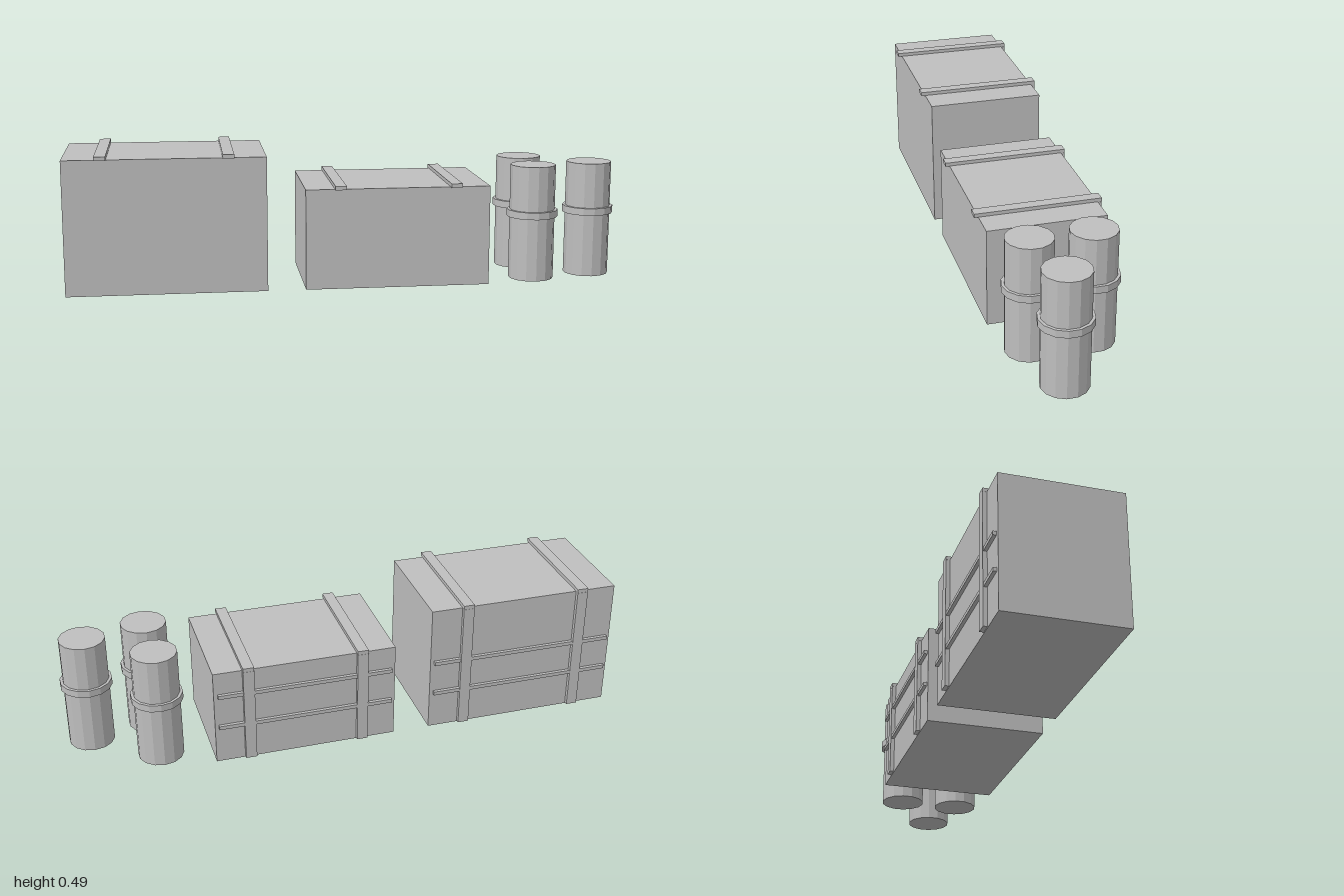
import * as THREE from 'three';

const grey = new THREE.MeshStandardMaterial({ color: 0xbfbfbf, flatShading: true });
grey.name = 'plain grey';

function add(parent, name, geometry, x, y, z) {
  const mesh = new THREE.Mesh(geometry, grey);
  mesh.name = name;
  mesh.position.set(x, y, z);
  parent.add(mesh);
}

const box = (w, h, d) => new THREE.BoxGeometry(w, h, d);

// Crate with two straps over the lid and down the back, crossed by two battens
function makeCrate(name, x, width, height, strapOffset) {
  const crate = new THREE.Group();
  crate.name = name;
  crate.position.x = x;
  add(crate, 'crateBody', box(width, height, 0.423), 0, height / 2, 0.001);
  for (const side of [-1, 1]) {
    const sx = side * strapOffset;
    add(crate, 'lidStrap', box(0.04, 0.014, 0.452), sx, height + 0.006, 0.001);
    add(crate, 'backStrap', box(0.04, height - 0.005, 0.015), sx, height / 2 + 0.001, -0.2175);
  }
  for (const y of [0.145, 0.27]) {
    add(crate, 'backBatten', box(width - 0.027, 0.014, 0.012), 0, y, -0.217);
  }
  return crate;
}

// Faceted drum with a raised band round its middle
function makeDrum(x, z) {
  const drum = new THREE.Group();
  drum.name = 'drum';
  drum.position.set(x, 0, z);
  add(drum, 'drumBody', new THREE.CylinderGeometry(0.082, 0.082, 0.42, 14), 0, 0.21, 0);
  add(drum, 'drumBand', new THREE.CylinderGeometry(0.0925, 0.0925, 0.026, 14), 0, 0.243, 0);
  return drum;
}

export function createModel() {
  const model = new THREE.Group();
  model.name = 'cargo';
  model.add(makeCrate('largeCrate', -0.647, 0.706, 0.48, 0.22));
  model.add(makeCrate('smallCrate', 0.172, 0.662, 0.36, 0.207));
  for (const [x, z] of [[0.683, -0.098], [0.683, 0.119], [0.908, 0.066]]) {
    model.add(makeDrum(x, z));
  }
  return model;
}
